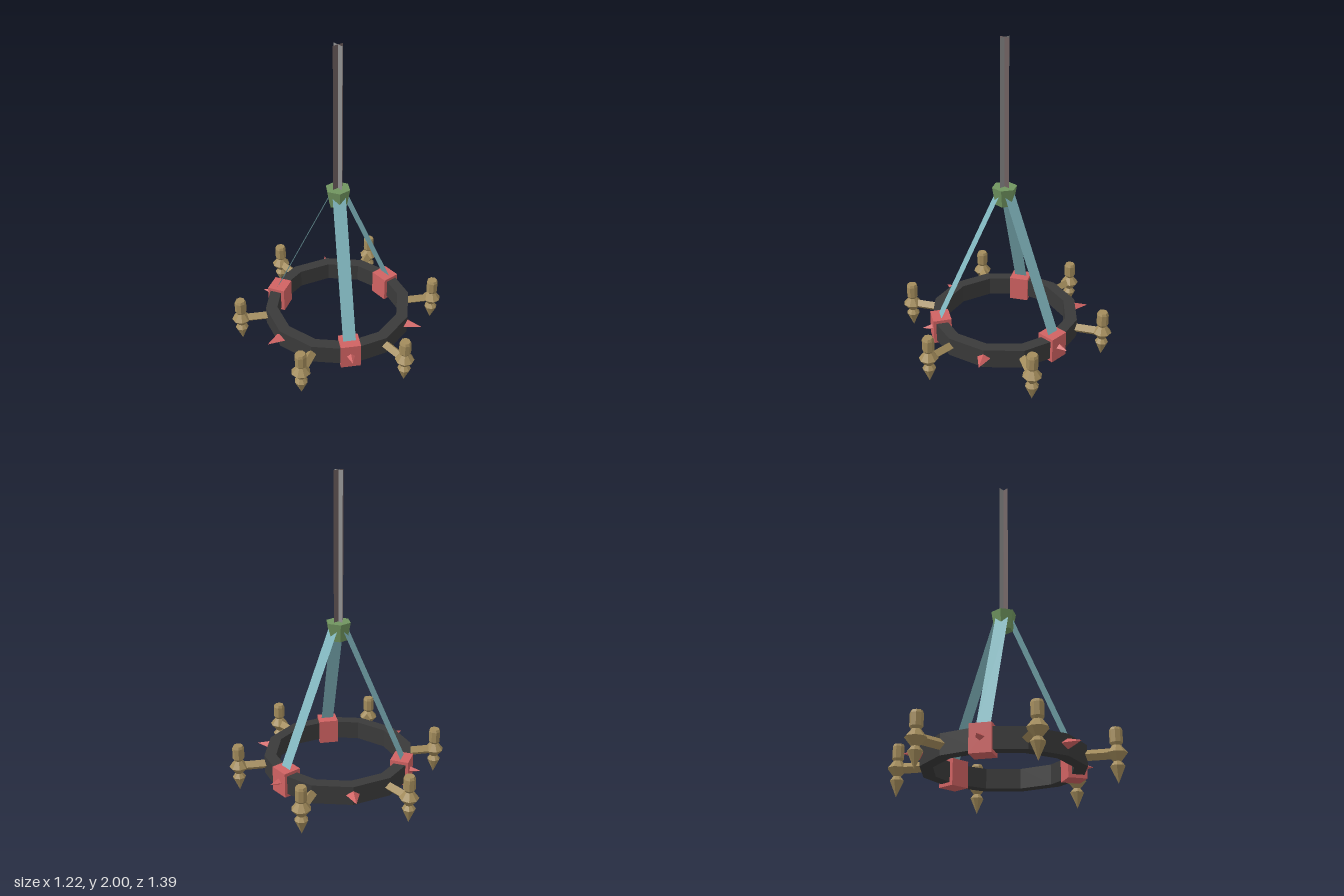
import * as THREE from 'three';

const mat = (color, side = THREE.FrontSide) =>
  new THREE.MeshStandardMaterial({ color, side, flatShading: true });
const pts = (list) => list.map(([r, y]) => new THREE.Vector2(r, y));

export function createModel() {
  const model = new THREE.Group();
  const iron = mat(0x3a3a3a), red = mat(0xd06262), brass = mat(0xa38c5c), green = mat(0x70945f);
  const strapMat = mat(0x82b8c0, THREE.DoubleSide);

  const add = (parent, name, geometry, material) => {
    const mesh = new THREE.Mesh(geometry, material);
    mesh.name = name;
    parent.add(mesh);
    return mesh;
  };
  // Group turned about the vertical axis; its local +x points outward
  const spoke = (name, angle) => {
    const g = new THREE.Group();
    g.name = name;
    g.rotation.y = angle;
    model.add(g);
    return g;
  };

  // Twelve-sided ring
  add(model, 'ring', new THREE.LatheGeometry(
    pts([[0.4, 0.11], [0.475, 0.11], [0.475, 0.23], [0.4, 0.23], [0.4, 0.11]]), 12), iron);

  // Shared shapes
  const spikeGeo = new THREE.ConeGeometry(1, 0.16, 4).rotateZ(-Math.PI / 2).scale(1, 0.05, 0.062);
  const blockGeo = new THREE.BoxGeometry(0.115, 0.16, 0.124);
  const armGeo = new THREE.CylinderGeometry(0.031, 0.031, 0.21, 4).rotateZ(Math.PI / 2);
  const holderGeo = new THREE.LatheGeometry(pts([
    [0, 0.005], [0.042, 0.1], [0.022, 0.125], [0.06, 0.172], [0.026, 0.215],
    [0.037, 0.23], [0.037, 0.3], [0.03, 0.316], [0, 0.316]]), 8);

  // Flat strap running from the hub down to a block
  const top = new THREE.Vector2(0.045, 1.05), foot = new THREE.Vector2(0.43, 0.23);
  const run = foot.clone().sub(top);
  const strapGeo = new THREE.PlaneGeometry(0.08, run.length())
    .rotateY(Math.PI / 2)
    .rotateZ(Math.atan2(run.x, -run.y))
    .translate((top.x + foot.x) / 2, (top.y + foot.y) / 2, 0);

  for (let i = 0; i < 6; i++) {
    // Spikes on the ring; every second one sits on a block with a strap
    const angle = i * Math.PI / 3;
    const blocked = i % 2 === 0;
    const mount = spoke(blocked ? 'strapMount' : 'spikeMount', angle);
    add(mount, 'spike', spikeGeo, red).position.set(blocked ? 0.46 : 0.49, 0.174, 0);
    if (blocked) {
      add(mount, 'block', blockGeo, red).position.set(0.418, 0.17, 0);
      add(mount, 'strap', strapGeo, strapMat);
    }

    // Candle arms between the spikes
    const arm = spoke('candleArm', angle + Math.PI / 6);
    add(arm, 'arm', armGeo, brass).position.set(0.54, 0.171, 0);
    add(arm, 'candleHolder', holderGeo, brass).position.x = 0.637;
  }

  // Hexagonal hub, corners toward left and right
  const hub = add(model, 'hub', new THREE.CylinderGeometry(0.078, 0.057, 0.115, 6), green);
  hub.rotation.y = Math.PI / 2;
  hub.position.y = 1.038;

  // Hanging chain as two crossed planes
  [[0x6e6060, 0], [0x8f8f8f, Math.PI / 2]].forEach(([color, turn]) => {
    const chain = add(model, 'chain', new THREE.PlaneGeometry(0.074, 0.91), mat(color, THREE.DoubleSide));
    chain.position.y = 1.545;
    chain.rotation.y = turn;
  });

  return model;
}
